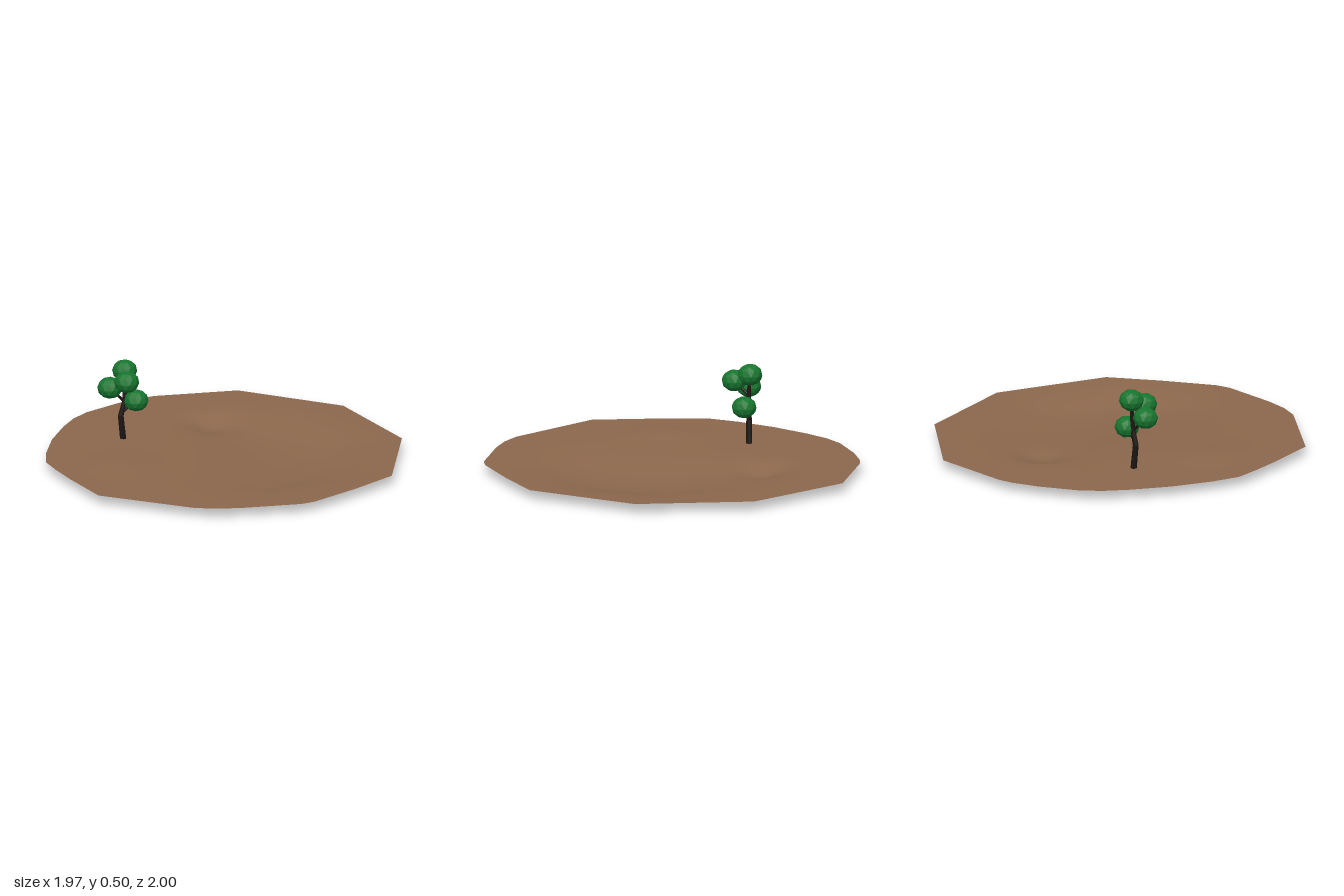
import * as THREE from 'three';

const mat = (color, opts = {}) => new THREE.MeshStandardMaterial({ color, ...opts });

// Ground outline as [x, z]
const OUTLINE = [
  [-0.17, -1], [0.29, -1], [0.79, -0.62], [0.98, 0], [0.79, 0.62], [0.55, 0.8], [0.29, 0.97],
  [0.21, 0.995], [-0.11, 0.995], [-0.25, 0.98], [-0.37, 0.94], [-0.6, 0.78], [-0.83, 0.62],
  [-0.92, 0.31], [-0.96, 0.14], [-0.985, 0], [-0.95, -0.16], [-0.87, -0.38], [-0.76, -0.59],
  [-0.68, -0.71], [-0.59, -0.8], [-0.39, -0.92], [-0.25, -0.98],
];

// Relief: [x, z, radius, height]
const RELIEF = [
  [-0.65, 0.15, 0.2, 0.019], [0.4, 0.1, 0.45, -0.043], [0.25, 0.5, 0.4, -0.022],
  [0.2, -0.3, 0.3, -0.02], [0.04, -0.51, 0.13, -0.038],
];

function groundHeight(x, z, t) {
  let h = 0;
  for (const [cx, cz, r, a] of RELIEF) h += a * Math.exp(-((x - cx) ** 2 + (z - cz) ** 2) / (r * r));
  return Math.max(0, 0.055 + h * Math.min(1, (1 - t) * 2.5));
}

// Thin sheet made of rings shrinking from the outline to the centre
function groundGeometry(rings = 26) {
  const rim = [];
  OUTLINE.forEach(([x, z], i) => {
    const [x2, z2] = OUTLINE[(i + 1) % OUTLINE.length];
    const n = Math.ceil(Math.hypot(x2 - x, z2 - z) / 0.07);
    for (let k = 0; k < n; k++) rim.push([x + (x2 - x) * k / n, z + (z2 - z) * k / n]);
  });
  const n = rim.length, pos = [0, groundHeight(0, 0, 0), 0], idx = [];
  for (let r = 1; r <= rings; r++) {
    const t = r / rings;
    for (const [x, z] of rim) pos.push(x * t, groundHeight(x * t, z * t, t), z * t);
    for (let i = 0; i < n; i++) {
      const j = (i + 1) % n, o = 1 + (r - 1) * n, p = o - n;
      if (r === 1) idx.push(0, o + j, o + i);
      else idx.push(p + i, p + j, o + i, p + j, o + j, o + i);
    }
  }
  const g = new THREE.BufferGeometry();
  g.setAttribute('position', new THREE.Float32BufferAttribute(pos, 3));
  g.setIndex(idx);
  g.computeVertexNormals();
  return g;
}

export function createModel() {
  const model = new THREE.Group();
  const ground = new THREE.Mesh(groundGeometry(), mat(0x8b674c, { side: THREE.DoubleSide }));
  ground.name = 'ground';
  model.add(ground);

  const tree = new THREE.Group();
  tree.name = 'tree';
  model.add(tree);
  const bark = mat(0x1c1613, { flatShading: true });
  const leaf = mat(0x17752f, { flatShading: true });

  // Tapered limb between two points
  const limb = (name, a, b, r0, r1) => {
    const from = new THREE.Vector3(...a), to = new THREE.Vector3(...b);
    const dir = to.clone().sub(from);
    const m = new THREE.Mesh(new THREE.CylinderGeometry(r1, r0, dir.length(), 8), bark);
    m.position.copy(from).addScaledVector(dir, 0.5);
    m.quaternion.setFromUnitVectors(new THREE.Vector3(0, 1, 0), dir.normalize());
    m.name = name;
    tree.add(m);
  };
  const trunk = [[-0.49, 0.05, -0.32], [-0.504, 0.185, -0.317], [-0.482, 0.27, -0.318], [-0.478, 0.42, -0.325]];
  const radii = [0.017, 0.0155, 0.013, 0.009];
  for (let i = 0; i < 3; i++) limb('trunk', trunk[i], trunk[i + 1], radii[i], radii[i + 1]);

  // Leaf clusters: facetted balls, slightly flattened, a vertex pointing up
  const ball = new THREE.IcosahedronGeometry(0.068, 1);
  ball.rotateZ(-Math.atan(2 / (1 + Math.sqrt(5)))).scale(1, 0.88, 1);
  const clusters = [
    { at: [-0.567, 0.353, -0.303], from: [-0.485, 0.265, -0.318] },
    { at: [-0.422, 0.27, -0.307], from: [-0.5, 0.2, -0.317] },
    { at: [-0.488, 0.4, -0.238], from: [-0.48, 0.325, -0.32] },
    { at: [-0.48, 0.438, -0.327] },
  ];
  for (const { at, from } of clusters) {
    if (from) limb('branch', from, at, 0.008, 0.006);
    const m = new THREE.Mesh(ball, leaf);
    m.position.set(...at);
    m.name = 'leafCluster';
    tree.add(m);
  }
  return model;
}
